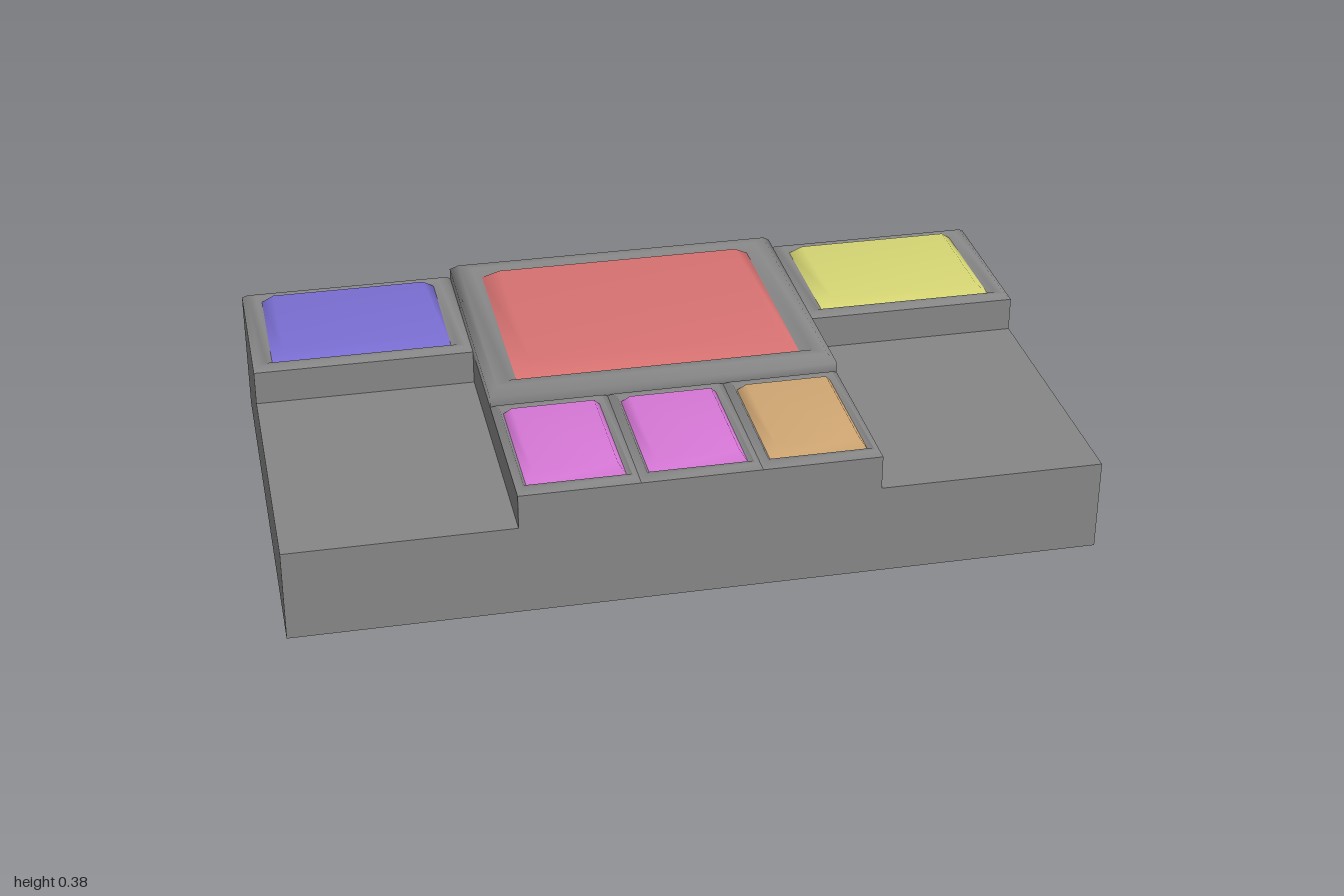
import * as THREE from 'three';

const grey = new THREE.MeshStandardMaterial({ color: 0x868686 });

// Box given by its limits on each axis
function block(name, [x0, x1], [y0, y1], [z0, z1]) {
  const mesh = new THREE.Mesh(new THREE.BoxGeometry(x1 - x0, y1 - y0, z1 - z0), grey);
  mesh.position.set((x0 + x1) / 2, (y0 + y1) / 2, (z0 + z1) / 2);
  mesh.name = name;
  return mesh;
}

// Softly shaded skin over nested rectangles, each ring = [inset in x, inset in z, height]; last ring is capped
function steppedPlate(name, [x0, x1], [z0, z1], rings, material) {
  const points = [], index = [];
  for (const [ix, iz, y] of rings) {
    points.push(x0 + ix, y, z0 + iz, x0 + ix, y, z1 - iz, x1 - ix, y, z1 - iz, x1 - ix, y, z0 + iz);
  }
  for (let r = 0; r < rings.length - 1; r++) {
    for (let i = 0; i < 4; i++) {
      const a = r * 4 + i, b = r * 4 + (i + 1) % 4;
      index.push(a, b, b + 4, a, b + 4, a + 4);
    }
  }
  const c = (rings.length - 1) * 4;
  index.push(c, c + 1, c + 2, c, c + 2, c + 3);
  const geometry = new THREE.BufferGeometry();
  geometry.setAttribute('position', new THREE.Float32BufferAttribute(points, 3));
  geometry.setIndex(index);
  geometry.computeVertexNormals();
  const mesh = new THREE.Mesh(geometry, material);
  mesh.name = name;
  return mesh;
}

// Bevelled frame with a sunken floor and a raised coloured pad
function panel(name, xs, zs, base, rim, floor, top, bevel, padX, padZ, slopeX, slopeZ, color) {
  const group = new THREE.Group();
  group.name = name;
  group.add(steppedPlate('frame', xs, zs, [
    [0, 0, base], [0, 0, floor], [bevel, bevel, rim],
    [padX * 0.7, padZ * 0.7, rim], [padX, padZ, floor],
  ], grey));
  group.add(steppedPlate('pad', xs, zs, [
    [padX, padZ, floor], [padX + slopeX, padZ + slopeZ, top],
  ], new THREE.MeshStandardMaterial({ color })));
  return group;
}

export function createModel() {
  const model = new THREE.Group();
  model.name = 'panelBlock';
  const slab = 0.235, deck = 0.323, back = -0.572, front = 0.572, half = 0.442, split = 0.146;

  // Base slab and the raised blocks on it
  model.add(block('baseSlab', [-1, 1], [0, slab], [back, front]));
  model.add(block('centreRiser', [-half, half], [slab, deck], [back, front]));
  model.add(block('rightRiser', [-1, -half], [slab, deck], [back, -split]));
  model.add(block('leftRiser', [half, 1], [slab, deck], [back, -split]));

  // Large centre panel
  model.add(panel('centrePanel', [-half, half], [back, split],
    deck, 0.369, 0.35, 0.384, 0.021, 0.078, 0.066, 0.042, 0.038, 0xd87272));

  // Rear corner panels
  const small = [deck, 0.335, deck, 0.35, 0.015];
  model.add(panel('rightPanel', [-1, -half], [back, -split], ...small, 0.05, 0.038, 0.03, 0.022, 0x7a6ed2));
  model.add(panel('leftPanel', [half, 1], [back, -split], ...small, 0.05, 0.038, 0.03, 0.022, 0xd6d674));

  // Row of three front panels
  const width = 2 * half / 3;
  [0xd878d8, 0xd878d8, 0xd2a874].forEach((color, i) => {
    const x = -half + i * width;
    model.add(panel(`frontPanel${i + 1}`, [x, x + width], [split, front],
      ...small, 0.027, 0.038, 0.018, 0.024, color));
  });
  return model;
}
